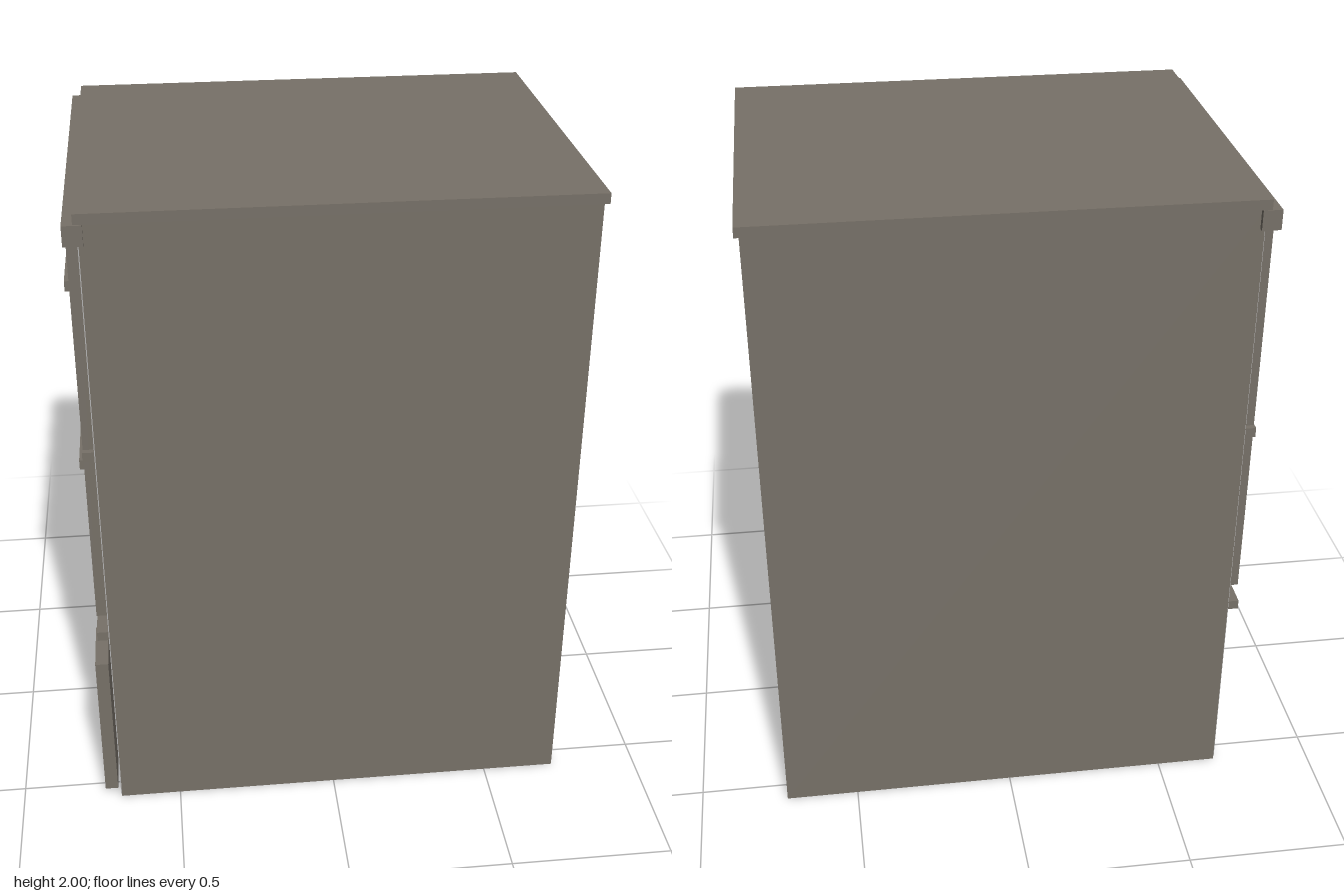
import * as THREE from 'three';

export function createModel() {
  const group = new THREE.Group();
  const stone = new THREE.MeshStandardMaterial({ color: 0x777168 });
  stone.name = 'brown stone';
  const plaster = new THREE.MeshStandardMaterial({ color: 0xb4b4b4 });
  plaster.name = 'grey plaster';

  // box given by its limits on each axis
  function box(name, [x0, x1], [y0, y1], [z0, z1], material = stone) {
    const mesh = new THREE.Mesh(new THREE.BoxGeometry(x1 - x0, y1 - y0, z1 - z0), material);
    mesh.position.set((x0 + x1) / 2, (y0 + y1) / 2, (z0 + z1) / 2);
    mesh.name = name;
    group.add(mesh);
  }

  const wall = -0.688;

  // main block, roof slab and cornice
  box('body', [wall, 0.727], [0, 1.97], [-0.565, 0.568]);
  box('roof', [-0.7, 0.74], [1.97, 2], [-0.58, 0.577]);
  box('cornice', [-0.73, -0.675], [1.91, 1.969], [-0.58, 0.58]);

  // facade on the -x side
  box('facadePanel', [wall - 0.003, wall], [0.005, 1.91], [-0.56, 0.563], plaster);
  for (const z of [-0.51, 0, 0.51]) {
    box('pilaster', [-0.724, wall], [0.69, 1.91], [z - 0.022, z + 0.022]);
  }
  for (const y of [0.625, 1.255]) {
    box('stringCourse', [-0.726, wall], [y - 0.015, y + 0.015], [-0.55, 0.55]);
  }

  // ledges, one per bay and storey
  for (const y of [1.19, 1.755]) {
    for (const z of [-0.278, 0.278]) {
      box('ledge', [-0.74, wall], [y - 0.015, y + 0.015], [z - 0.2, z + 0.2]);
    }
  }

  // doorway: two posts, a lintel and a recessed door
  for (const z of [0.37, 0.526]) {
    box('doorPost', [-0.74, -0.7], [0.015, 0.49], [z - 0.019, z + 0.019]);
  }
  box('doorLintel', [-0.74, -0.7], [0.48, 0.515], [0.351, 0.545]);
  box('door', [-0.71, -0.7], [0.015, 0.48], [0.389, 0.507]);

  return group;
}
